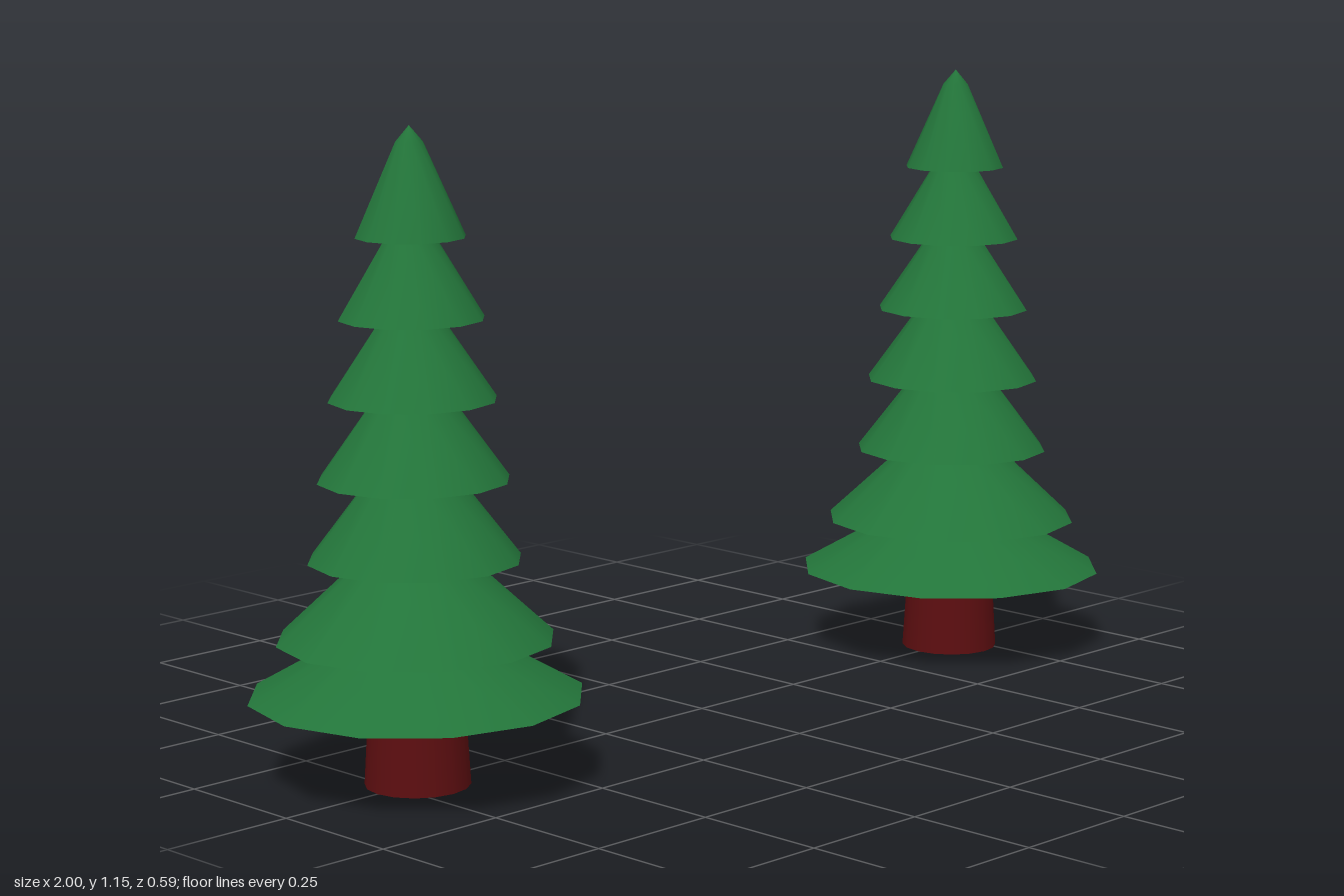
import * as THREE from 'three';
import { mergeGeometries } from 'three/addons/utils/BufferGeometryUtils.js';

const SIDES = 12;
const needles = new THREE.MeshStandardMaterial({ name: 'needleGreen', color: 0x23753a });
const bark = new THREE.MeshStandardMaterial({ name: 'barkRed', color: 0x5c0e10 });

// Each tier: rim height, rim radius, then [radius, height] points up to its top
const tiers = [
  [0.16, 0.295, [[0.122, 0.26]]],
  [0.26, 0.244, [[0.095, 0.4]]],
  [0.4, 0.187, [[0.08, 0.54]]],
  [0.54, 0.168, [[0.068, 0.68]]],
  [0.68, 0.147, [[0.053, 0.82]]],
  [0.82, 0.127, [[0.043, 0.96]]],
  [0.96, 0.096, [[0.024, 1.122], [0, 1.15]]],
];

const lathe = (points) =>
  new THREE.LatheGeometry(points.map(([r, y]) => new THREE.Vector2(r, y)), SIDES);

// Sloping skirt and underside are separate strips so the rim stays crisp
function tierGeometry([y, r, top], index) {
  const skirt = lathe([[r, y], ...top]);
  const underside = index === 0
    ? lathe([[0.02, 0.13], [0.085, 0.136], [r, y]])
    : lathe([[0.02, y], [r, y]]);
  return mergeGeometries([skirt, underside]);
}

function createTree(name, x) {
  const tree = new THREE.Group();
  tree.name = name;
  tree.position.x = x;

  // Tapered trunk, reaching a little into the lowest tier
  const trunk = new THREE.Mesh(new THREE.CylinderGeometry(0.084, 0.093, 0.15, 16), bark);
  trunk.name = 'trunk';
  trunk.position.y = 0.075;
  tree.add(trunk);

  // Stacked branch skirts
  tiers.forEach((tier, i) => {
    const mesh = new THREE.Mesh(tierGeometry(tier, i), needles);
    mesh.name = i === tiers.length - 1 ? 'treeTop' : `branchTier${i + 1}`;
    tree.add(mesh);
  });
  return tree;
}

export function createModel() {
  const model = new THREE.Group();
  model.name = 'firTrees';
  model.add(createTree('leftTree', 0.705), createTree('rightTree', -0.705));
  return model;
}
